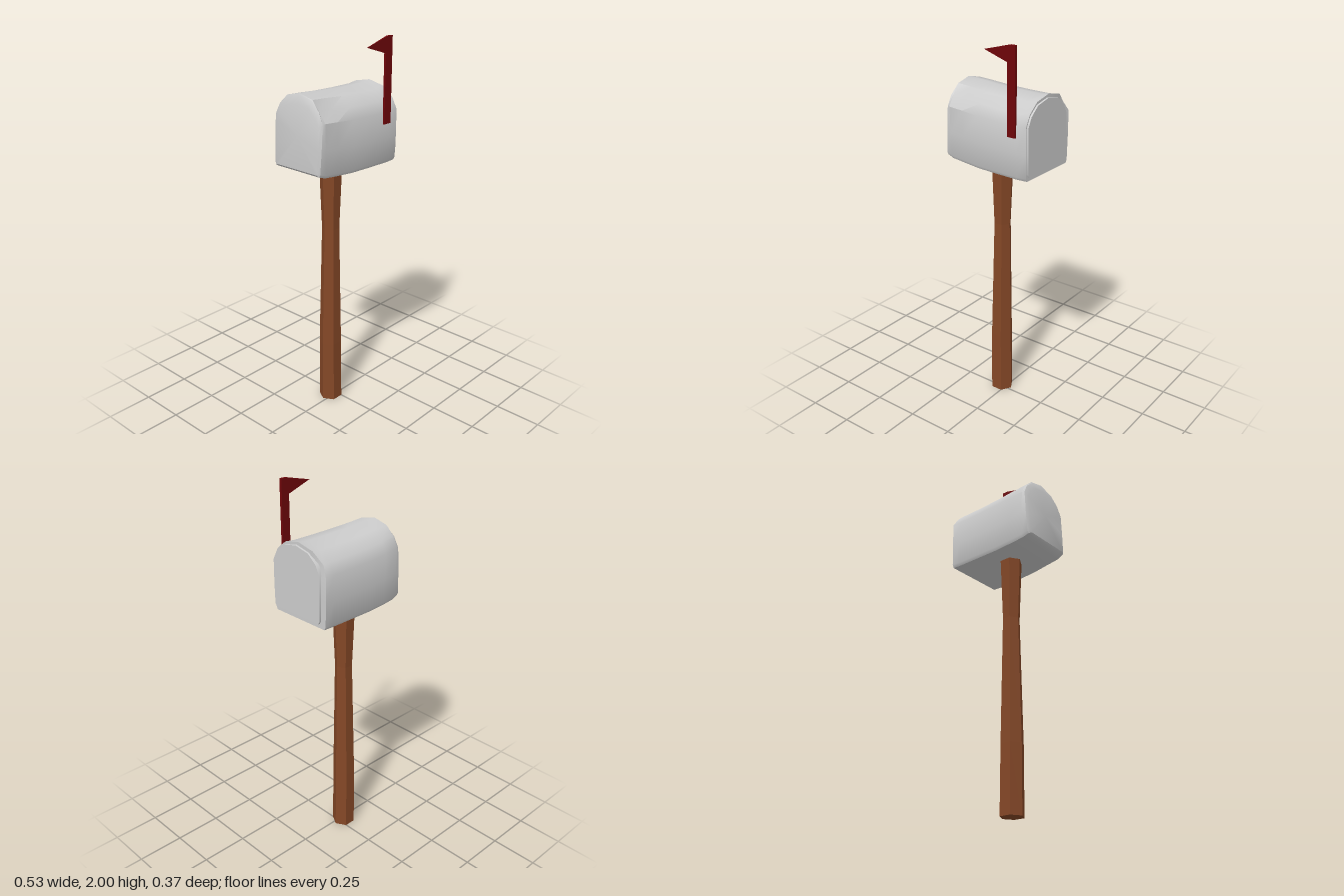
import * as THREE from 'three';
import { toCreasedNormals } from 'three/addons/utils/BufferGeometryUtils.js';

// Joins rings of points into a tube and closes both ends
function loft(rings) {
  const n = rings[0].length, pos = [], index = [];
  rings.forEach(r => r.forEach(p => pos.push(...p)));
  for (let i = 0; i < rings.length - 1; i++) {
    for (let j = 0; j < n; j++) {
      const k = (j + 1) % n, a = i * n + j, b = a + n, c = (i + 1) * n + k, d = i * n + k;
      index.push(a, b, c, a, c, d);
    }
  }
  [0, rings.length - 1].forEach((i, last) => {
    const mid = [0, 1, 2].map(q => rings[i].reduce((s, p) => s + p[q], 0) / n);
    const m = pos.length / 3;
    pos.push(...mid);
    for (let j = 0; j < n; j++) {
      const a = i * n + j, b = i * n + (j + 1) % n;
      if (last) index.push(m, b, a); else index.push(m, a, b);
    }
  });
  const g = new THREE.BufferGeometry();
  g.setAttribute('position', new THREE.Float32BufferAttribute(pos, 3));
  g.setIndex(index);
  return g;
}

// Half of the arched box section: width factor, height factor
const half = [[0.93, 0], [0.98, 0.04], [1, 0.35], [1, 0.69], [0.84, 0.83], [0.52, 0.95]];
const arch = [...half, [0, 1], ...half.slice().reverse().map(([u, v]) => [-u, v])];

function boxRing([x, lean, zBack, zFront, yLow, yHigh]) {
  const mid = (zBack + zFront) / 2, w = (zFront - zBack) / 2;
  return arch.map(([u, v]) => [x + lean * v, yLow + (yHigh - yLow) * v, mid + u * w]);
}

export function createModel() {
  const group = new THREE.Group();
  const add = (name, geometry, color, flatShading = false) => {
    const mesh = new THREE.Mesh(geometry, new THREE.MeshStandardMaterial({ color, flatShading }));
    mesh.name = name;
    group.add(mesh);
  };

  // Worn arched box: x, lean of the section, back z, front z, bottom y, top y
  const stations = [
    [-0.27, 0.016, -0.155, 0.125, 1.395, 1.715],
    [-0.262, 0.022, -0.173, 0.138, 1.385, 1.755],
    [-0.225, -0.012, -0.178, 0.142, 1.372, 1.762],
    [-0.15, 0, -0.181, 0.146, 1.365, 1.757],
    [-0.05, 0, -0.182, 0.158, 1.36, 1.75],
    [0.07, 0, -0.183, 0.168, 1.36, 1.746],
    [0.2, 0, -0.184, 0.175, 1.36, 1.745],
    [0.253, 0, -0.185, 0.174, 1.362, 1.752],
  ];
  const rings = stations.map(boxRing);
  // Shallow dents along the front shoulder and the back rim
  rings[2][4][2] -= 0.012;
  rings[3][4][2] -= 0.014;
  rings[7][8][0] -= 0.014;
  rings[7][8][1] -= 0.008;
  add('mailboxBody', toCreasedNormals(loft(rings), 0.6), 0xcccccc);

  // Door panel standing slightly proud of the right end, set towards the front
  const door = [[0.235, 0, -0.153, 0.171, 1.385, 1.74], [0.264, -0.003, -0.153, 0.168, 1.385, 1.735]];
  add('doorPanel', toCreasedNormals(loft(door.map(boxRing)), 0.5), 0xcccccc);

  // Hexagonal post with a waist: y, radius, centre x, centre z
  const levels = [
    [0, 0.062, -0.03, -0.018],
    [0.35, 0.06, -0.031, -0.018],
    [1.02, 0.046, -0.026, -0.018],
    [1.37, 0.06, -0.025, -0.018],
  ];
  const post = levels.map(([y, r, cx, cz]) => Array.from({ length: 6 }, (_, i) => {
    const a = i * Math.PI / 3;
    return [cx + r * Math.cos(a), y, cz + r * Math.sin(a)];
  }));
  add('post', loft(post), 0x844726, true);

  // Signal flag: upright arm with a pointed pennant, thinning towards its tip
  const outline = [[0.15, 1.57], [0.196, 1.57], [0.196, 2], [0.165, 2], [0.016, 1.962], [0.15, 1.92]];
  const shape = new THREE.Shape(outline.map(([x, y]) => new THREE.Vector2(x, y)));
  const flag = new THREE.ExtrudeGeometry(shape, { depth: 1, bevelEnabled: false });
  const p = flag.attributes.position;
  for (let i = 0; i < p.count; i++) {
    const thick = 0.002 + 0.012 * (p.getX(i) - 0.016) / 0.18;
    p.setZ(i, 0.177 + (p.getZ(i) - 0.5) * thick);
  }
  add('signalFlag', flag, 0x6e0509, true);

  return group;
}
